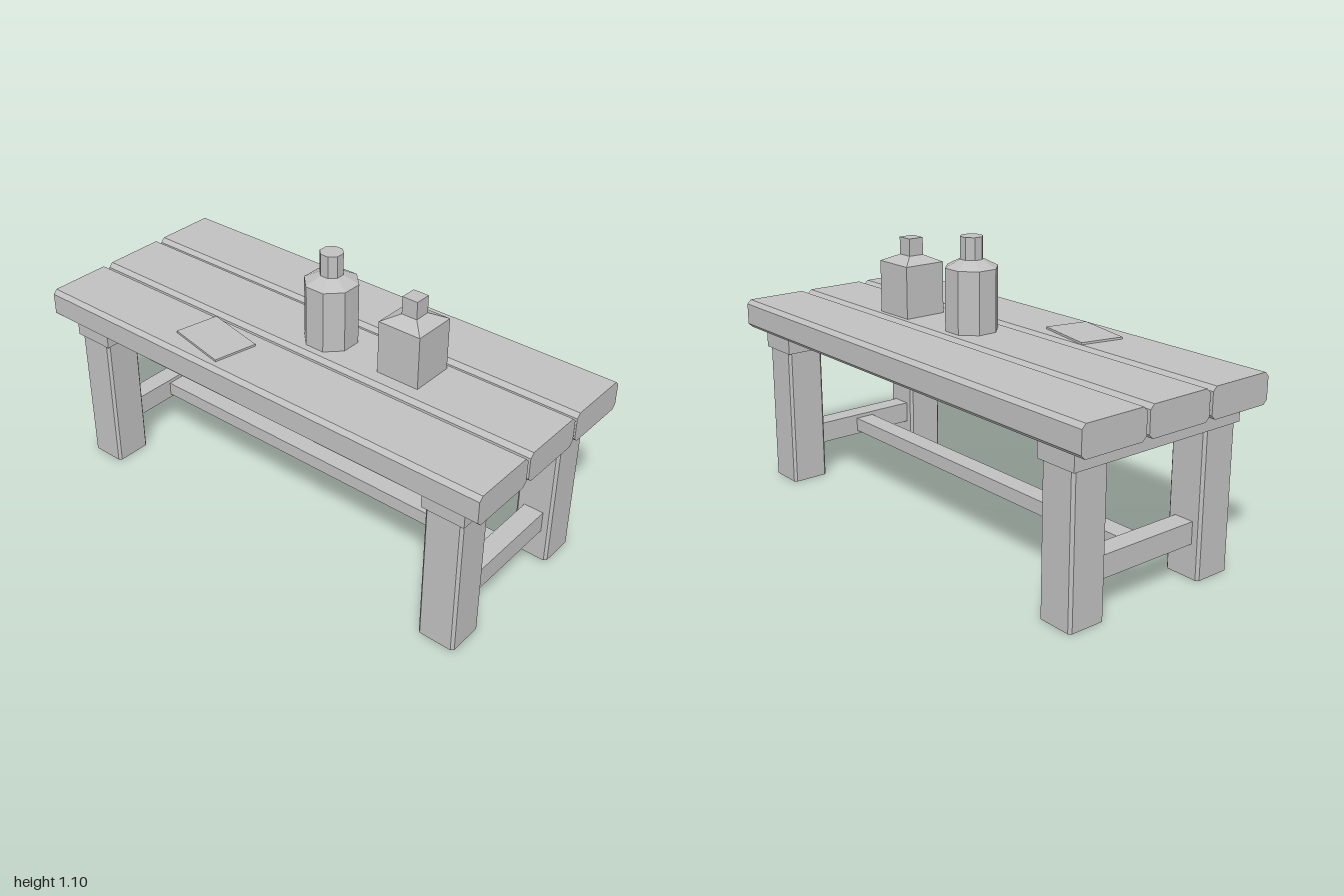
import * as THREE from 'three';

const grey = new THREE.MeshStandardMaterial({ color: 0xc0c0c0 });
grey.name = 'plain grey';

// Flat-sided copy of a geometry
function faceted(geometry) {
  const g = geometry.index ? geometry.toNonIndexed() : geometry;
  g.computeVertexNormals();
  return g;
}

function add(parent, name, geometry, x, y, z) {
  const mesh = new THREE.Mesh(geometry, grey);
  mesh.name = name;
  mesh.position.set(x, y, z);
  parent.add(mesh);
  return mesh;
}

// Beam along z with its four long edges chamfered, centred on the origin
function chamferedBeam(w, h, length, c) {
  const a = w / 2, b = h / 2;
  const shape = new THREE.Shape([
    [a, -b + c], [a, b - c], [a - c, b], [-a + c, b],
    [-a, b - c], [-a, -b + c], [-a + c, -b], [a - c, -b],
  ].map(([x, y]) => new THREE.Vector2(x, y)));
  return new THREE.ExtrudeGeometry(shape, { depth: length, bevelEnabled: false })
    .translate(0, 0, -length / 2);
}

// Prism-like bottle; radii are measured to the flat sides
function bottle(sides, bodyRadius, neckRadius, shoulderY, neckY, topY) {
  const k = 1 / Math.cos(Math.PI / sides);
  const profile = [
    [0, 0], [bodyRadius, 0], [bodyRadius, shoulderY],
    [neckRadius, neckY], [neckRadius, topY], [0, topY],
  ].map(([r, y]) => new THREE.Vector2(r * k, y));
  return faceted(new THREE.LatheGeometry(profile, sides, Math.PI / sides));
}

export function createModel() {
  const model = new THREE.Group();
  model.name = 'workTable';
  const topY = 0.745;

  // Three thick planks
  const plank = chamferedBeam(0.277, 0.115, 2, 0.016).rotateY(Math.PI / 2);
  for (const z of [-0.29, 0, 0.29]) add(model, 'plank', plank, 0, 0.6875, z);

  // Two trestle ends: cross beam, pair of legs and low stretcher
  const leg = chamferedBeam(0.15, 0.153, 0.557, 0.01).rotateX(-Math.PI / 2);
  for (const side of [-1, 1]) {
    const end = new THREE.Group();
    end.name = side > 0 ? 'leftTrestle' : 'rightTrestle';
    end.position.x = side * 0.84;
    model.add(end);
    add(end, 'crossBeam', new THREE.BoxGeometry(0.17, 0.073, 0.77), 0, 0.5935, 0);
    add(end, 'sideStretcher', new THREE.BoxGeometry(0.08, 0.085, 0.46), 0, 0.1725, 0);
    for (const z of [-0.301, 0.301]) add(end, 'leg', leg, 0, 0.2785, z);
  }

  // Long rail joining the trestles
  add(model, 'longStretcher', new THREE.BoxGeometry(1.62, 0.055, 0.08), 0, 0.1725, 0);

  // Objects on the table
  add(model, 'octagonalBottle', bottle(8, 0.095, 0.041, 0.24, 0.27, 0.355), 0.055, topY, 0);
  add(model, 'squareBottle', bottle(4, 0.0875, 0.032, 0.205, 0.232, 0.3), 0.412, topY, -0.016);
  const sheet = add(model, 'paperSheet', new THREE.BoxGeometry(0.254, 0.008, 0.175), -0.261, topY + 0.004, 0.28);
  sheet.rotation.y = -0.21;

  return model;
}
